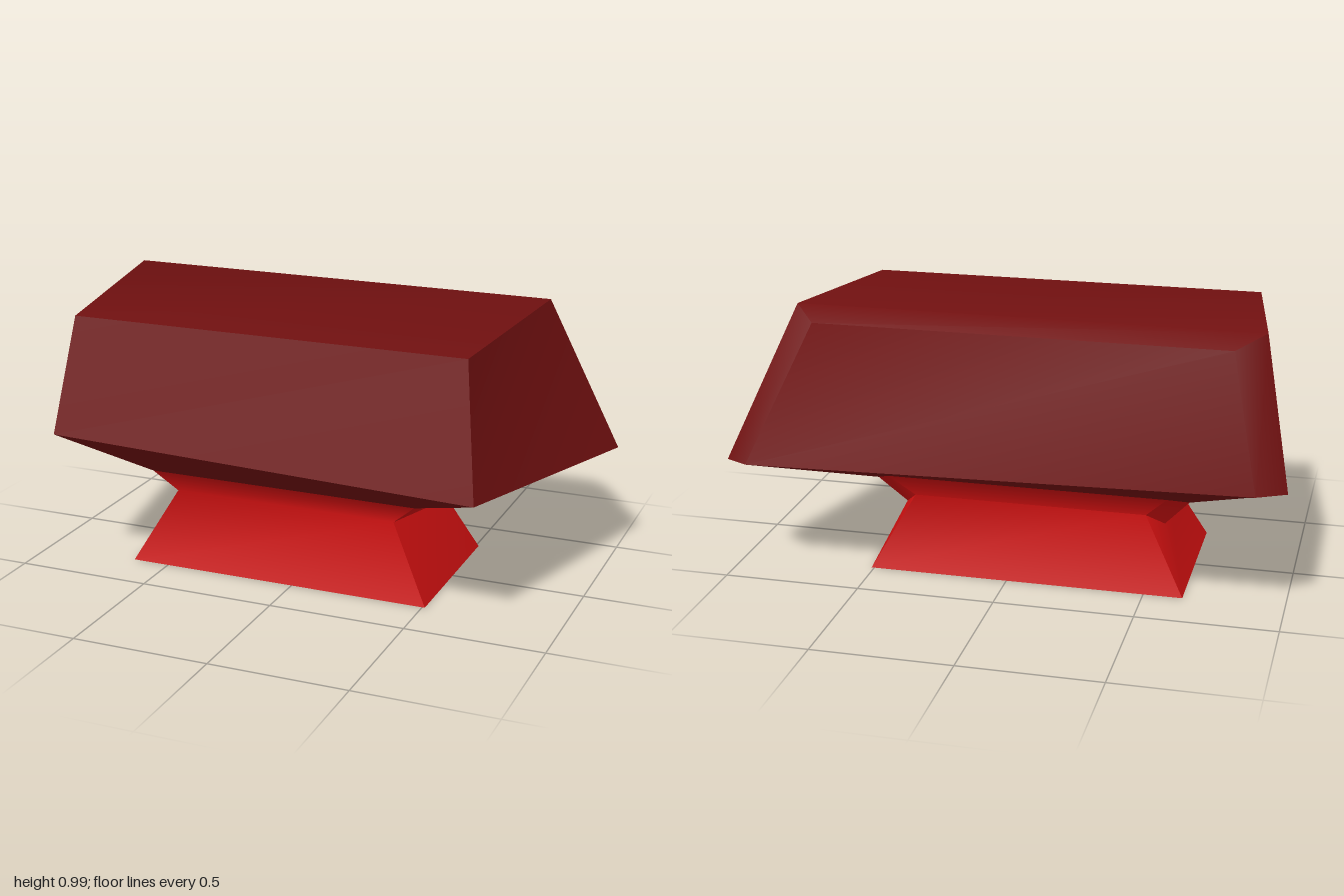
import * as THREE from 'three';
import { toCreasedNormals } from 'three/addons/utils/BufferGeometryUtils.js';

// Six-cornered cross-sections from bottom to top, each going round as:
// front right, front left, left side, back left, back right, right side
const RINGS = [
  // foot: a rectangle, so the chamfered back corners coincide
  [[-0.64, 0, 0.31], [0.51, 0, 0.31], [0.51, 0, -0.31], [0.51, 0, -0.31], [-0.64, 0, -0.31], [-0.64, 0, -0.31]],
  // waist
  [[-0.49, 0.27, 0.23], [0.36, 0.27, 0.23], [0.41, 0.22, -0.17], [0.36, 0.27, -0.23], [-0.49, 0.27, -0.23], [-0.55, 0.22, -0.17]],
  // where the neck meets the head
  [[-0.57, 0.35, 0.27], [0.45, 0.35, 0.27], [0.51, 0.315, -0.2], [0.45, 0.35, -0.27], [-0.57, 0.35, -0.27], [-0.64, 0.32, -0.2]],
  // widest part of the head
  [[-0.84, 0.53, 0.51], [0.74, 0.48, 0.51], [1, 0.425, -0.43], [0.9, 0.44, -0.51], [-0.9, 0.48, -0.51], [-1, 0.47, -0.43]],
  // top rim
  [[-0.8, 0.945, 0.39], [0.67, 0.945, 0.39], [0.75, 0.99, -0.32], [0.67, 0.945, -0.4], [-0.8, 0.945, -0.4], [-0.9, 0.99, -0.32]],
];
const SIDES = 6;
const NECK_RINGS = 2;

function createBlockGeometry() {
  const positions = [];
  const quad = (a, b, c, d) => {
    for (const tri of [[a, b, c], [a, c, d]]) {
      const [p, q, r] = tri.map((v) => new THREE.Vector3(...v));
      if (q.sub(p).cross(r.sub(p)).length() > 1e-8) positions.push(...tri.flat());
    }
  };

  // Walls between two neighbouring cross-sections
  const wall = (lower, upper) => {
    for (let i = 0; i < SIDES; i++) {
      const j = (i + 1) % SIDES;
      quad(lower[i], lower[j], upper[j], upper[i]);
    }
  };

  // Foot and neck, with the flat underside
  const foot = RINGS[0];
  quad(foot[0], foot[4], foot[2], foot[1]);
  for (let k = 0; k < NECK_RINGS; k++) wall(RINGS[k], RINGS[k + 1]);
  const neckCount = positions.length / 3;

  // Head, with a sloping top and a bevel behind its ridge
  for (let k = NECK_RINGS; k < RINGS.length - 1; k++) wall(RINGS[k], RINGS[k + 1]);
  const top = RINGS[RINGS.length - 1];
  quad(top[0], top[1], top[2], top[5]);
  quad(top[5], top[2], top[3], top[4]);
  const total = positions.length / 3;

  const geometry = new THREE.BufferGeometry();
  geometry.setAttribute('position', new THREE.Float32BufferAttribute(positions, 3));
  const creased = toCreasedNormals(geometry, THREE.MathUtils.degToRad(46));
  creased.clearGroups();
  creased.addGroup(0, neckCount, 0);
  creased.addGroup(neckCount, total - neckCount, 1);
  return creased;
}

export function createModel() {
  const brightRed = new THREE.MeshStandardMaterial({ color: 0xcc1010 });
  brightRed.name = 'brightRed';
  const darkRed = new THREE.MeshStandardMaterial({ color: 0x701010 });
  darkRed.name = 'darkRed';

  const block = new THREE.Mesh(createBlockGeometry(), [brightRed, darkRed]);
  block.name = 'headAndNeck';

  const model = new THREE.Group();
  model.name = 'flaredBlock';
  model.add(block);
  return model;
}
